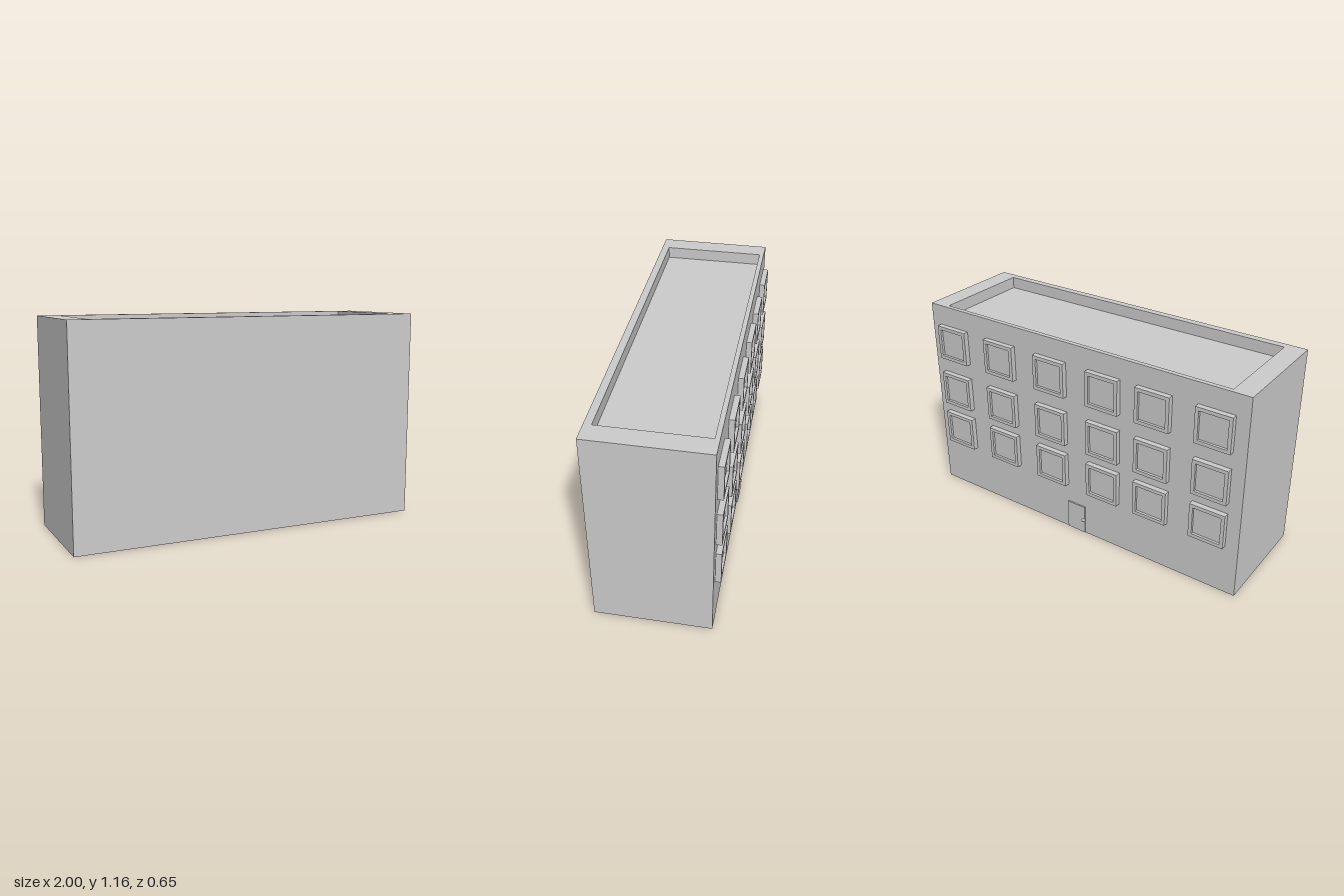
import * as THREE from 'three';

const material = new THREE.MeshStandardMaterial({ color: 0xcccccc });

function add(parent, name, geometry, x = 0, y = 0, z = 0) {
  const mesh = new THREE.Mesh(geometry, material);
  mesh.name = name;
  mesh.position.set(x, y, z);
  parent.add(mesh);
  return mesh;
}

// Rectangle with a rectangular hole; each is [x0, y0, x1, y1]
function frameShape(outer, inner) {
  const corners = ([x0, y0, x1, y1]) => [[x0, y0], [x1, y0], [x1, y1], [x0, y1]]
    .map(([x, y]) => new THREE.Vector2(x, y));
  const shape = new THREE.Shape(corners(outer));
  shape.holes.push(new THREE.Path(corners(inner).reverse()));
  return shape;
}

const FRONT = 0.325, BACK = -0.295, TOP = 1.16, ROOF = 1.095;

export function createModel() {
  const model = new THREE.Group();
  model.name = 'building';

  // Solid block up to the roof floor
  add(model, 'body', new THREE.BoxGeometry(2, ROOF, FRONT - BACK), 0, ROOF / 2, (FRONT + BACK) / 2);

  // Raised rim around the sunken roof (shape y becomes -z)
  const rim = new THREE.ExtrudeGeometry(
    frameShape([-1, -FRONT, 1, -BACK], [-0.89, -0.285, 0.89, 0.27]),
    { depth: TOP - ROOF, bevelEnabled: false }
  );
  rim.rotateX(-Math.PI / 2);
  add(model, 'roofParapet', rim, 0, ROOF, 0);

  // Windows: three rows of projecting frames with recessed panes
  const half = 0.1, inner = 0.08;
  const frame = new THREE.ExtrudeGeometry(
    frameShape([-half, -half, half, half], [-inner, -inner, inner, inner]),
    { depth: 0.03, bevelEnabled: false }
  );
  const pane = new THREE.BoxGeometry(inner * 2, inner * 2, 0.016);
  for (const y of [0.39, 0.652, 0.945]) {
    for (const x of [-0.827, -0.487, -0.185, 0.155, 0.5, 0.84]) {
      const win = new THREE.Group();
      win.name = 'window';
      win.position.set(x, y, BACK);
      add(win, 'windowFrame', frame, 0, 0, -0.03);
      add(win, 'windowPane', pane, 0, 0, -0.008);
      model.add(win);
    }
  }

  // Door with a round knob
  add(model, 'door', new THREE.BoxGeometry(0.115, 0.172, 0.008), 0, 0.091, BACK - 0.004);
  add(model, 'doorKnob', new THREE.SphereGeometry(0.009, 20, 14), -0.047, 0.087, BACK - 0.008);

  return model;
}
